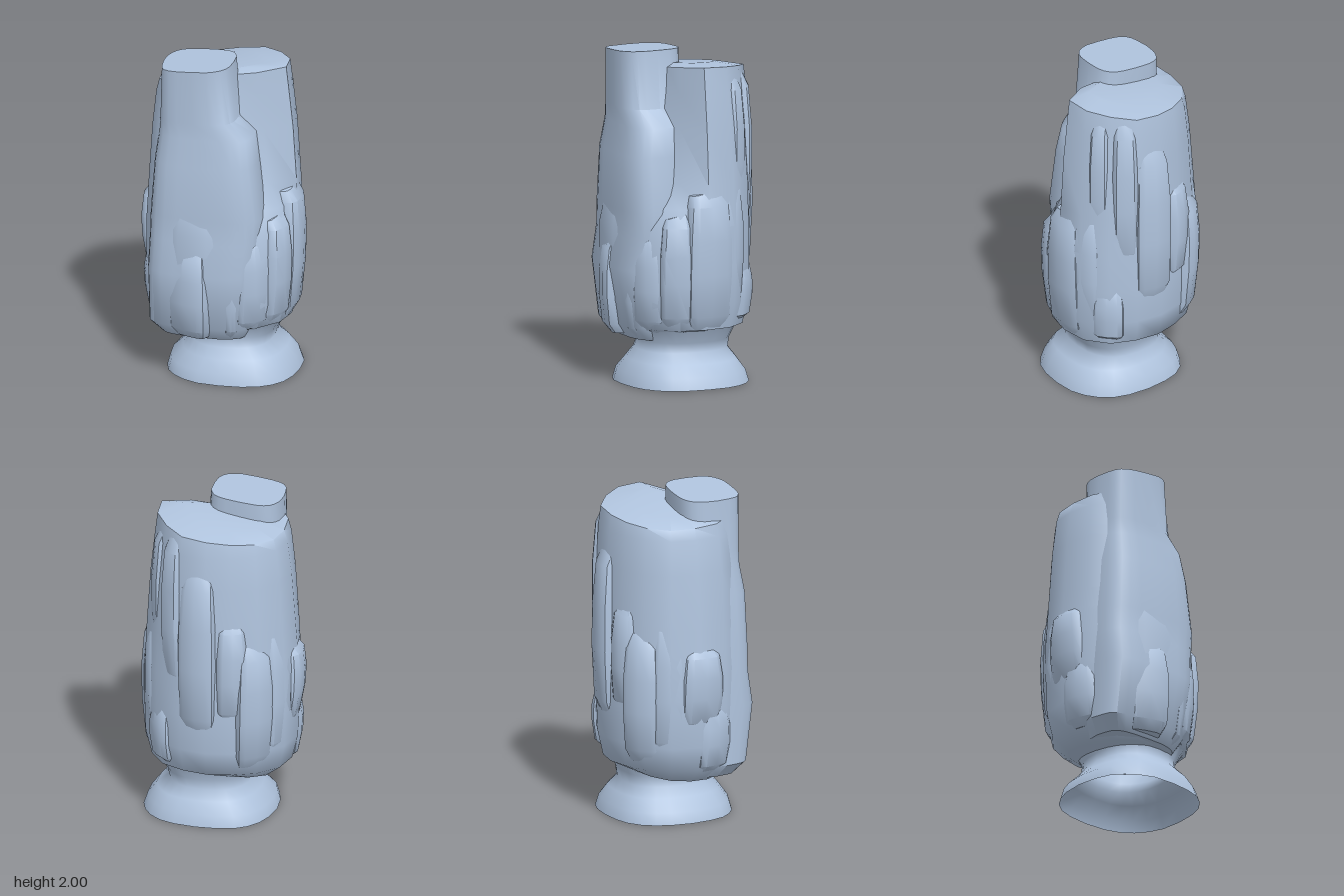
import * as THREE from 'three';
import { toCreasedNormals } from 'three/addons/utils/BufferGeometryUtils.js';

const stone = new THREE.MeshStandardMaterial({ color: 0xb0c4de, side: THREE.DoubleSide });
stone.name = 'pale blue stone';

// Small seeded generator for the uneven flutes in the rock
function seeded(seed) {
  let s = seed;
  return () => (s = (s * 16807) % 2147483647) / 2147483647;
}

// Skin over rings of [x, y, z] points, bottom to top, each counterclockwise from above
function skin(name, rings, { caps = true, crease = 0.7 } = {}) {
  const sides = rings[0].length, last = (rings.length - 1) * sides, index = [];
  for (let r = 0; r < last; r += sides) {
    for (let i = 0; i < sides; i++) {
      const a = r + i, b = r + ((i + 1) % sides);
      index.push(a, b, a + sides, b, b + sides, a + sides);
    }
  }
  for (let i = 1; caps && i < sides - 1; i++) {
    index.push(0, i + 1, i, last, last + i, last + i + 1);
  }
  const geometry = new THREE.BufferGeometry();
  geometry.setAttribute('position', new THREE.Float32BufferAttribute(rings.flat(2), 3));
  geometry.setIndex(index);
  const mesh = new THREE.Mesh(toCreasedNormals(geometry, crease), stone);
  mesh.name = name;
  return mesh;
}

// Rounded-box rings; each level is [y, xMin, xMax, zMin, zMax], the top one tilted along x
function boxRings(levels, { sides, power, jitter, tilt = 0, seed = 7 }) {
  const random = seeded(seed);
  for (let i = 0; i < 5; i++) random();
  const flutes = Array.from({ length: sides }, () => 1 - jitter * 2 * random());
  const bend = (v) => Math.sign(v) * Math.abs(v) ** (2 / power);
  return levels.map(([y, x0, x1, z0, z1], row) => flutes.map((flute, i) => {
    const a = (i / sides) * Math.PI * 2;
    const x = (x0 + x1) / 2 + bend(Math.cos(a)) * flute * (x1 - x0) / 2;
    const z = (z0 + z1) / 2 - bend(Math.sin(a)) * flute * (z1 - z0) / 2;
    return [x, row === levels.length - 1 ? y + tilt * x : y, z];
  }));
}

// Radii of the main mass, every 22.5 degrees from +x towards the back
const WIDE = [0.475, 0.49, 0.475, 0.44, 0.43, 0.425, 0.455, 0.485, 0.485, 0.485, 0.475, 0.475, 0.435, 0.42, 0.455, 0.475];
const TOP = [0.39, 0.405, 0.4, 0.41, 0.38, 0.37, 0.38, 0.39, 0.385, 0.4, 0.4, 0.25, 0.2, 0.15, 0.165, 0.25];

// Each level is [y, share of the wide outline, the same for the notch at front left, scale];
// the bottom ring and the two top rings slope
function massRings(levels) {
  return levels.map(([y, wide, notchWide, scale], row) => WIDE.map((w, i) => {
    const a = (i / 16) * Math.PI * 2;
    const r = scale * THREE.MathUtils.lerp(TOP[i], w, i > 12 ? notchWide : wide);
    const x = Math.cos(a) * r, z = -Math.sin(a) * r;
    const slope = row === 0 ? 0.1 * x - 0.08 * z : row > levels.length - 3 ? 0.13 * x + 0.04 * z : 0;
    return [x, y + slope, z];
  }));
}

// Upright slab of rock set into the side of the pillar; angle 0 is the front, 90 is +x
function shard(name, angle, width, radius, y0, y1, lean, slant, seed) {
  const w = width / 2;
  const levels = [
    [0, 0.75, 0.08], [0.1, 0.95, 0.03], [0.4, 1, 0.005], [0.65, 0.98, 0], [0.9, 0.85, 0.015], [1, 0.7, 0.06],
  ].map(([t, s, back]) => [y0 + (y1 - y0) * t, -w * s, w * s, radius - 0.2, radius - back - lean * t]);
  const mesh = skin(name, boxRings(levels, { sides: 12, power: 3.2, jitter: 0.015, tilt: slant, seed }));
  mesh.rotation.y = THREE.MathUtils.degToRad(angle);
  return mesh;
}

export function createModel() {
  const group = new THREE.Group();
  group.name = 'rockPillar';

  // Hollow flared foot, open underneath
  group.add(skin('flaredFoot', boxRings([
    [0, -0.33, 0.47, -0.38, 0.395],
    [0.07, -0.31, 0.445, -0.36, 0.375],
    [0.14, -0.235, 0.39, -0.31, 0.33],
    [0.2, -0.19, 0.315, -0.27, 0.28],
    [0.26, -0.18, 0.33, -0.27, 0.26],
    [0.35, -0.24, 0.38, -0.31, 0.31],
  ], { sides: 24, power: 2.5, jitter: 0.01 }), { caps: false, crease: 1.2 }));

  // Main mass, with a deep notch at the front left above mid height
  group.add(skin('rearColumn', massRings([
    [0.29, 1, 1, 0.66],
    [0.35, 1, 1, 0.87],
    [0.5, 1, 1, 0.945],
    [0.72, 1, 1, 0.96],
    [0.95, 1, 0.95, 0.96],
    [1.08, 0.85, 0.75, 0.97],
    [1.22, 0.6, 0.4, 1],
    [1.55, 0.35, 0.18, 1],
    [1.76, 0.08, 0.04, 1],
    [1.875, 0, 0, 0.97],
    [1.9, 0, 0, 0.6],
  ]), { crease: 1 }));

  // Tall front column, stepping out on its left side as it goes down
  group.add(skin('frontColumn', boxRings([
    [0.27, -0.33, 0.2, 0, 0.33],
    [0.35, -0.4, 0.24, 0, 0.39],
    [0.7, -0.4, 0.27, 0, 0.44],
    [0.9, -0.395, 0.295, 0, 0.41],
    [1.05, -0.39, 0.305, 0, 0.41],
    [1.38, -0.365, 0.26, 0, 0.4],
    [1.55, -0.345, 0.235, -0.01, 0.37],
    [1.65, -0.335, 0.135, -0.02, 0.365],
    [1.99, -0.325, 0.105, -0.02, 0.365],
  ], { sides: 24, power: 3.2, jitter: 0.015, tilt: 0.08, seed: 5 })));

  // Slabs around the sides: angle, width, radius, bottom, top, lean, slant of the top
  const slabs = [
    ['frontFinger', 21, 0.1, 0.425, 0.29, 0.82, 0, 0],
    ['frontLeftSlab', 40, 0.22, 0.45, 0.34, 0.94, 0.01, 0.3],
    ['leftFrontSlab', 65, 0.22, 0.475, 0.36, 1.04, 0, 0.3],
    ['leftSlab', 92, 0.3, 0.488, 0.35, 1.18, 0, 0.2],
    ['leftRearSlab', 115, 0.2, 0.485, 0.45, 1.25, 0.02, -0.3],
    ['leftRearBoulder', 133, 0.2, 0.48, 0.37, 0.76, 0.02, 0.2],
    ['leftCornerFlute', 125, 0.14, 0.46, 0.95, 1.86, 0.02, 0],
    ['leftRearFlute', 147, 0.17, 0.465, 0.88, 1.86, 0.02, 0],
    ['rearSlab', 172, 0.24, 0.475, 0.62, 1.66, 0.03, -0.3],
    ['rearRightFlute', 203, 0.2, 0.455, 0.7, 1.35, 0.02, 0.3],
    ['rearRightSlab', 222, 0.24, 0.475, 0.4, 1.18, 0, -0.2],
    ['rightRearSlab', 246, 0.22, 0.487, 0.45, 1.3, 0.04, 0.3],
    ['rightSlab', 273, 0.28, 0.49, 0.6, 1.1, -0.01, 0],
    ['rightLowSlab', 285, 0.24, 0.48, 0.33, 0.75, 0, 0.3],
    ['rightFrontSlab', 312, 0.2, 0.48, 0.32, 0.95, 0.02, -0.3],
    ['frontRightSlab', 342, 0.28, 0.478, 0.29, 0.86, 0.02, 0.2],
  ];
  slabs.forEach((slab, i) => group.add(shard(...slab, 3 + i * 17)));

  return group;
}
